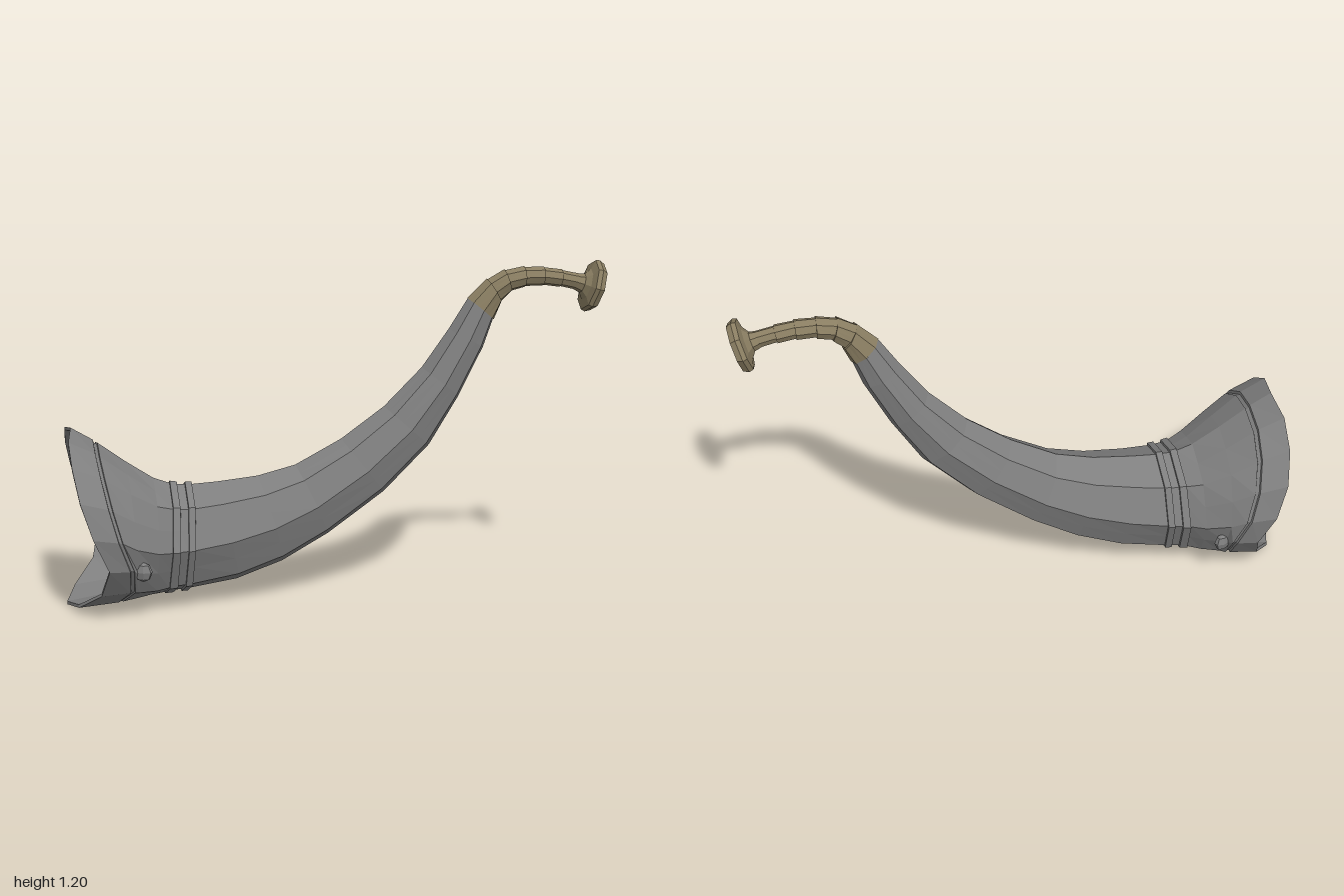
import * as THREE from 'three';

const SIDES = 16;
const FLAT = Math.cos(Math.PI / 8); // pulls odd points onto the sides of an octagon

// One cross-section: top and bottom points in the xy plane, half width in z,
// roundness (0 octagon, 1 full circle) and optional x values from top to bottom.
function section(top, bottom, width, round = 0, xs = null) {
  const cx = (top[0] + bottom[0]) / 2, cy = (top[1] + bottom[1]) / 2;
  const hx = (top[0] - bottom[0]) / 2, hy = (top[1] - bottom[1]) / 2;
  const points = [];
  for (let j = 0; j < SIDES; j++) {
    const a = (j / SIDES) * Math.PI * 2;
    const k = j % 2 ? FLAT + (1 - FLAT) * round : 1;
    const c = Math.cos(a) * k, s = Math.sin(a) * k;
    const x = xs ? xs[Math.min(j, SIDES - j)] : cx + hx * c;
    points.push(new THREE.Vector3(x, cy + hy * c, width * s));
  }
  return points;
}

// Shrinks a section towards its centre
function shrink(points, f) {
  const centre = new THREE.Vector3();
  points.forEach((p) => centre.addScaledVector(p, 1 / points.length));
  return points.map((p) => new THREE.Vector3(p.x, centre.y + (p.y - centre.y) * f, p.z * f));
}

// Skin over sections ordered from +x to -x
function loft(sections) {
  const n = SIDES, pos = [], index = [];
  sections.forEach((s) => s.forEach((p) => pos.push(p.x, p.y, p.z)));
  for (let k = 0; k < sections.length - 1; k++) {
    for (let j = 0; j < n; j++) {
      const a = k * n + j, b = k * n + ((j + 1) % n), c = a + n, d = b + n;
      index.push(a, c, b, b, c, d);
    }
  }
  const g = new THREE.BufferGeometry();
  g.setAttribute('position', new THREE.Float32BufferAttribute(pos, 3));
  g.setIndex(index);
  g.computeVertexNormals();
  return g;
}

export function createModel() {
  const group = new THREE.Group();
  const grey = new THREE.MeshStandardMaterial({ color: 0x7f7f7f, flatShading: true });
  grey.name = 'dull grey horn';
  const brass = new THREE.MeshStandardMaterial({ color: 0x8a7e62, flatShading: true });
  brass.name = 'aged brass';
  const add = (name, geometry, material) => {
    const mesh = new THREE.Mesh(geometry, material);
    mesh.name = name;
    group.add(mesh);
    return mesh;
  };

  // Curved octagonal body, from the pipe down to the collar
  const body = [
    section([0.48, 1.08], [0.575, 1.0], 0.055),
    section([0.41, 0.97], [0.54, 0.9], 0.066),
    section([0.31, 0.83], [0.45, 0.72], 0.08),
    section([0.17, 0.69], [0.34, 0.54], 0.094),
    section([0.01, 0.575], [0.17, 0.37], 0.111),
    section([-0.16, 0.485], [-0.04, 0.22], 0.13),
    section([-0.3, 0.45], [-0.21, 0.125], 0.15),
    section([-0.45, 0.435], [-0.38, 0.065], 0.172),
    section([-0.54, 0.43], [-0.56, 0.038], 0.19),
  ];
  // Two raised bands with a recess between them
  const collar = [
    section([-0.541, 0.439], [-0.561, 0.029], 0.199),
    section([-0.565, 0.44], [-0.585, 0.028], 0.203),
    section([-0.566, 0.431], [-0.586, 0.036], 0.195),
    section([-0.594, 0.432], [-0.614, 0.034], 0.2),
    section([-0.595, 0.442], [-0.615, 0.025], 0.21),
    section([-0.62, 0.446], [-0.645, 0.023], 0.215),
    section([-0.621, 0.438], [-0.646, 0.028], 0.208),
  ];
  // Flared bell with a rim that dips inwards low on each side
  const grooveX = [-0.89, -0.89, -0.88, -0.86, -0.83, -0.79, -0.785, -0.82, -0.85];
  const rimX = [-0.97, -0.985, -0.98, -0.96, -0.92, -0.865, -0.89, -0.965, -1];
  const bell = [
    section([-0.68, 0.46], [-0.69, 0.022], 0.24, 0.2),
    section([-0.78, 0.527], [-0.75, 0.018], 0.284, 0.6),
    section([0, 0.598], [0, 0.014], 0.312, 0.9, grooveX.map((x) => x + 0.014)),
    section([0, 0.592], [0, 0.02], 0.306, 0.9, grooveX.map((x) => x + 0.012)),
    section([0, 0.6], [0, 0.02], 0.308, 0.95, grooveX),
    section([0, 0.61], [0, 0.013], 0.318, 0.95, grooveX.map((x) => x - 0.002)),
    section([0, 0.657], [0, 0.002], 0.335, 1, rimX),
  ];
  // Hollow interior running back up the bore
  const bore = [
    shrink(bell[6], 0.965),
    shrink(bell[4], 0.94),
    shrink(bell[1], 0.94),
    shrink(bell[0], 0.93),
    shrink(collar[3], 0.92),
    shrink(body[6], 0.9),
    shrink(body[5], 0.85),
    shrink(body[4], 0.75),
    shrink(body[3], 0.02),
  ];
  add('hornBody', loft([...body, ...collar, ...bell, ...bore]), grey);

  // Small low studs on both sides of the bell
  for (const side of [1, -1]) {
    const stud = add('bellStud', new THREE.SphereGeometry(0.036, 7, 4), grey);
    stud.scale.set(1, 1, 0.55);
    stud.position.set(-0.745, 0.185, side * 0.255);
    stud.rotation.y = -side * 0.45;
  }

  // Bent pipe in overlapping segments: top point, bottom point, half width
  const stations = [
    [[0.478, 1.08], [0.578, 0.998], 0.054],
    [[0.55, 1.15], [0.605, 1.06], 0.047],
    [[0.615, 1.182], [0.64, 1.098], 0.043],
    [[0.69, 1.192], [0.692, 1.115], 0.039],
    [[0.765, 1.189], [0.76, 1.118], 0.036],
    [[0.835, 1.176], [0.825, 1.112], 0.033],
    [[0.905, 1.158], [0.888, 1.1], 0.03],
  ];
  const pipe = [];
  stations.forEach(([t, b, w], i) => {
    const ring = section(t, b, w);
    const inner = i > 0 && i < stations.length - 1;
    if (inner) pipe.push(section(t, b, w * 1.08));
    pipe.push(inner ? shrink(ring, 0.9) : ring);
  });
  add('pipe', loft(pipe.reverse()), brass);

  // Octagonal mouthpiece with a hollow cup
  const profile = [
    [0.03, 0], [0.036, 0.025], [0.06, 0.042], [0.094, 0.05], [0.098, 0.066],
    [0.088, 0.086], [0.076, 0.086], [0.05, 0.06], [0.018, 0.025], [0, 0.025],
  ].map(([r, t]) => new THREE.Vector2(r, t));
  const mouth = add('mouthpiece', new THREE.LatheGeometry(profile, 8), brass);
  mouth.position.set(0.888, 1.13, 0);
  mouth.rotation.z = -(Math.PI / 2 + 0.284);

  return group;
}
